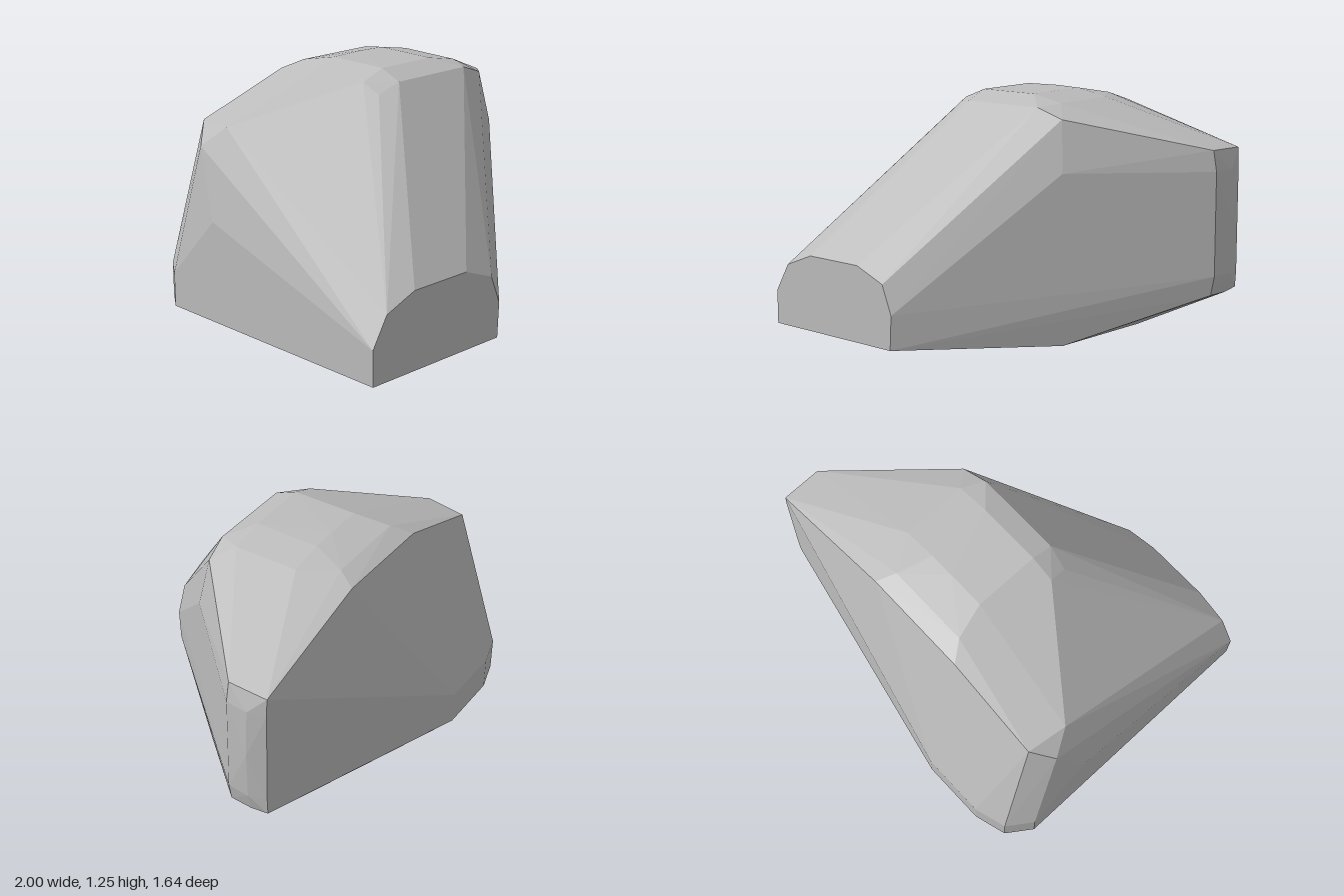
import * as THREE from 'three';
import { ConvexGeometry } from 'three/addons/geometries/ConvexGeometry.js';

// Places a list of [x, y] pairs on a plane of constant z
const atZ = (z, pairs) => pairs.map(([x, y]) => new THREE.Vector3(x, y, z));
// Places a list of [x, z] pairs at a constant height
const atY = (y, pairs) => pairs.map(([x, z]) => new THREE.Vector3(x, y, z));

export function createModel() {
  const stone = new THREE.MeshStandardMaterial({ color: 0xbcbcbc });
  stone.name = 'stone grey';
  stone.flatShading = true;

  // Cut front face with a bevelled top
  const front = atZ(0.82, [
    [-1, 0], [-1, 0.18], [-0.91, 0.33], [-0.73, 0.4],
    [-0.38, 0.4], [-0.2, 0.33], [-0.14, 0.18], [-0.15, 0],
  ]);

  // Rounded foot at the back, a short vertical band
  const foot = [[-1, -0.64], [-0.91, -0.77], [-0.74, -0.82], [-0.39, -0.82]];
  const back = [...atY(0, foot), ...atY(0.18, foot)];

  // Underside corners on the left
  const base = atY(0, [[0.43, 0.18], [0.44, -0.42], [0.27, -0.58]]);

  // Crown: stepped rings towards the flat top
  const crown = [
    ...atZ(0.19, [[-0.2, 1.19], [0.27, 1.19]]),
    ...atZ(0.17, [[-0.32, 1.14], [0.41, 1.14]]),
    ...atZ(0.07, [[-0.33, 1.19], [-0.2, 1.24], [0.14, 1.24], [0.32, 1.205]]),
    ...atZ(-0.28, [[-0.2, 1.243], [0, 1.247], [0.14, 1.243], [0.32, 1.21]]),
    ...atZ(-0.46, [[-0.25, 1.21], [0.2, 1.21]]),
    ...atZ(-0.555, [[-0.32, 1.16], [0.25, 1.17]]),
  ];

  // Blunt edge on the left side (+x)
  const edge = [
    ...atZ(0.21, [[0.45, 0.88], [0.45, 0.35]]),
    ...atZ(-0.34, [[0.96, 0.985], [0.98, 0.88], [0.98, 0.35], [0.96, 0.25]]),
    ...atZ(-0.46, [[0.99, 0.88], [1, 0.62], [0.99, 0.35], [0.965, 0.25]]),
    ...atZ(-0.555, [[0.96, 0.98], [0.965, 0.88], [0.965, 0.35], [0.96, 0.26]]),
  ];

  // Shoulder on the right side (-x)
  const shoulder = [
    new THREE.Vector3(-0.87, 0.985, -0.34),
    new THREE.Vector3(-0.84, 0.98, -0.555),
    new THREE.Vector3(-0.94, 0.88, -0.46),
    new THREE.Vector3(-1, 0.53, -0.31),
  ];

  const rock = new THREE.Mesh(
    new ConvexGeometry([...front, ...back, ...base, ...crown, ...edge, ...shoulder]),
    stone,
  );
  rock.name = 'rock';

  const group = new THREE.Group();
  group.name = 'boulder';
  group.add(rock);
  return group;
}
